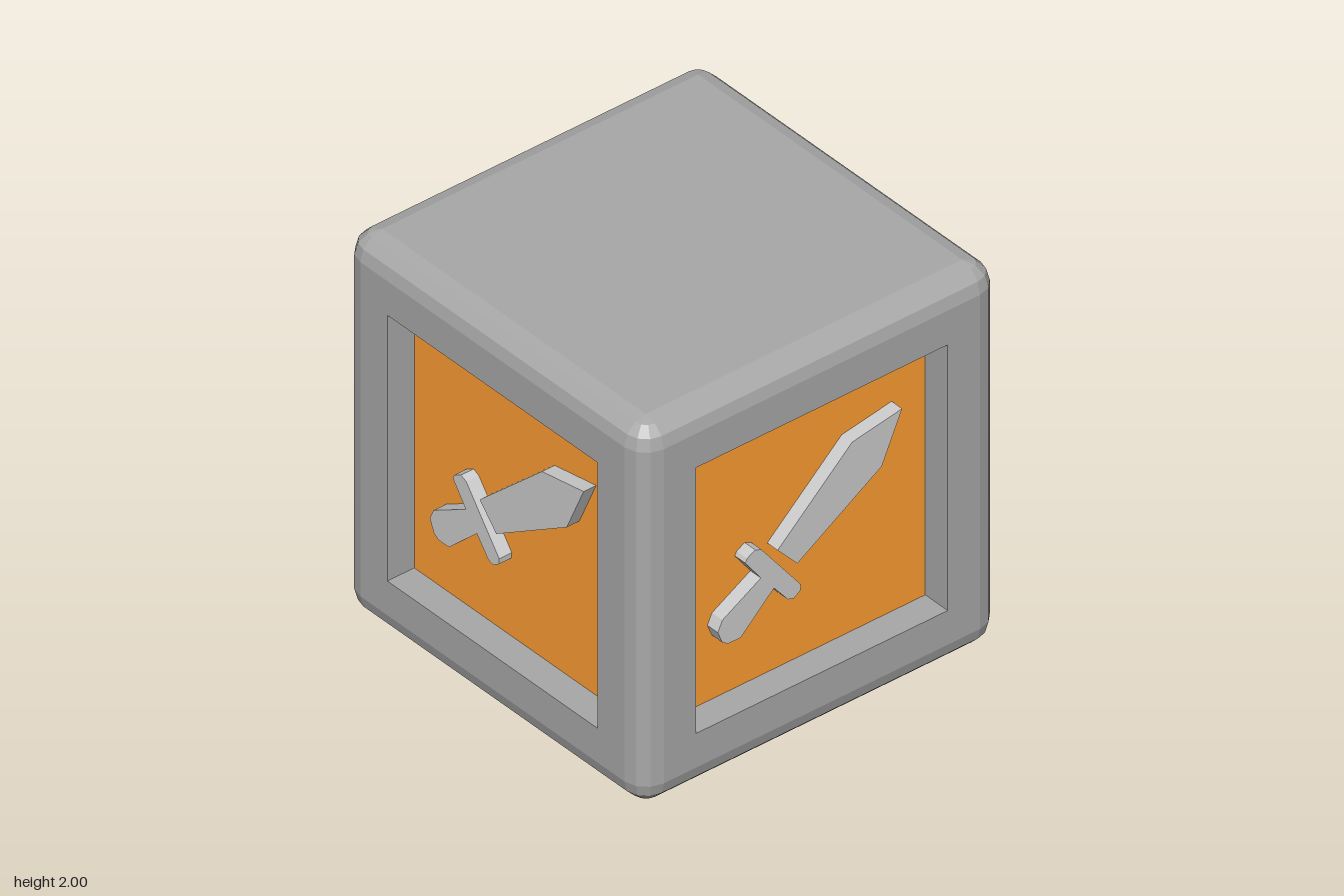
import * as THREE from 'three';

const HALF = 1, R = 0.12, CORE = HALF - R; // cube half size, edge radius, flat half size
const WIN = 0.7, DEPTH = 0.15, THICK = 0.07; // window half size, recess depth, sword thickness

const bodyMat = new THREE.MeshStandardMaterial({ color: 0xa8a8a8, flatShading: true, side: THREE.DoubleSide });
const panelMat = new THREE.MeshStandardMaterial({ color: 0xfd9c32 });
const swordMat = new THREE.MeshStandardMaterial({ color: 0xcccccc, flatShading: true });

const BLADE = [[-0.18, 0.98], [-0.07, 0.86], [0.4, 1.155], [0.513, 1.406], [0.235, 1.358]];
const HILT = [
  [-0.36, 0.995], [-0.35, 1.015], [-0.305, 1.04], [-0.27, 1.025], [-0.05, 0.74],
  [-0.053, 0.71], [-0.09, 0.685], [-0.123, 0.695], [-0.2, 0.79], [-0.385, 0.615],
  [-0.455, 0.615], [-0.487, 0.636], [-0.513, 0.7], [-0.487, 0.754], [-0.273, 0.877],
];

const toShape = (pts) => new THREE.Shape(pts.map(([x, y]) => new THREE.Vector2(x, y)));
const square = (s) => [[-s, -s], [s, -s], [s, s], [-s, s]];

function add(parent, name, geometry, material) {
  const mesh = new THREE.Mesh(geometry, material);
  mesh.name = name;
  parent.add(mesh);
  return mesh;
}

// Rounded edges and corners: rounded-square rings stacked from bottom to top,
// three facets per quarter turn, leaving the flat faces open.
function roundedEdges() {
  const pos = [], idx = [];
  for (let i = 0; i < 8; i++) {
    const lat = THREE.MathUtils.degToRad(i < 4 ? -90 + 30 * i : 30 * (i - 4));
    const y = HALF + (i < 4 ? -CORE : CORE) + R * Math.sin(lat);
    const r = R * Math.cos(lat);
    for (let k = 0; k < 16; k++) {
      const corner = Math.floor(k / 4), t = (corner * 3 + (k % 4)) * Math.PI / 6;
      const c = corner * Math.PI / 2 + Math.PI / 4, d = CORE * Math.SQRT2;
      pos.push(d * Math.cos(c) + r * Math.cos(t), y, -d * Math.sin(c) - r * Math.sin(t));
    }
  }
  for (let i = 0; i < 7; i++) {
    for (let k = 0; k < 16; k++) {
      const flat = k % 4 === 3;
      if (i === 3 && flat) continue; // side faces are separate
      const n = (k + 1) % 16;
      const a = i * 16 + k, b = i * 16 + n, c = a + 16, d = b + 16;
      if (i > 0 || flat) idx.push(a, b, d);
      if (i < 6 || flat) idx.push(a, d, c);
      if (i === 0 && !flat) idx.push(a, d, c);
    }
  }
  const g = new THREE.BufferGeometry();
  g.setAttribute('position', new THREE.Float32BufferAttribute(pos, 3));
  g.setIndex([...idx]);
  const out = g.toNonIndexed();
  out.computeVertexNormals();
  return out;
}

// One side: framed face, recess walls, coloured panel and raised sword
function makeSide() {
  const side = new THREE.Group();
  side.name = 'side';

  const frame = toShape(square(CORE));
  frame.holes.push(toShape(square(WIN)));
  add(side, 'frame', new THREE.ShapeGeometry(frame), bodyMat).position.set(0, HALF, HALF);

  const walls = new THREE.CylinderGeometry(WIN * Math.SQRT2, WIN * Math.SQRT2, DEPTH, 4, 1, true);
  walls.rotateY(Math.PI / 4).rotateX(Math.PI / 2);
  add(side, 'recessWalls', walls, bodyMat).position.set(0, HALF, HALF - DEPTH / 2);

  add(side, 'panel', new THREE.PlaneGeometry(2 * WIN, 2 * WIN), panelMat).position.set(0, HALF, HALF - DEPTH);

  const sword = new THREE.Group();
  sword.name = 'sword';
  for (const [name, pts] of [['blade', BLADE], ['hilt', HILT]]) {
    add(sword, name, new THREE.ExtrudeGeometry(toShape(pts), { depth: THICK, bevelEnabled: false }), swordMat);
  }
  sword.position.z = HALF - DEPTH;
  side.add(sword);
  return side;
}

export function createModel() {
  const model = new THREE.Group();
  model.name = 'swordBlock';

  add(model, 'roundedEdges', roundedEdges(), bodyMat);

  // Flat top and bottom
  const cap = new THREE.PlaneGeometry(2 * CORE, 2 * CORE);
  const top = add(model, 'top', cap, bodyMat);
  top.rotation.x = -Math.PI / 2;
  top.position.y = 2 * HALF;
  add(model, 'bottom', cap, bodyMat).rotation.x = Math.PI / 2;

  // Four identical sides
  for (let i = 0; i < 4; i++) {
    const side = makeSide();
    side.rotation.y = i * Math.PI / 2;
    model.add(side);
  }
  return model;
}
